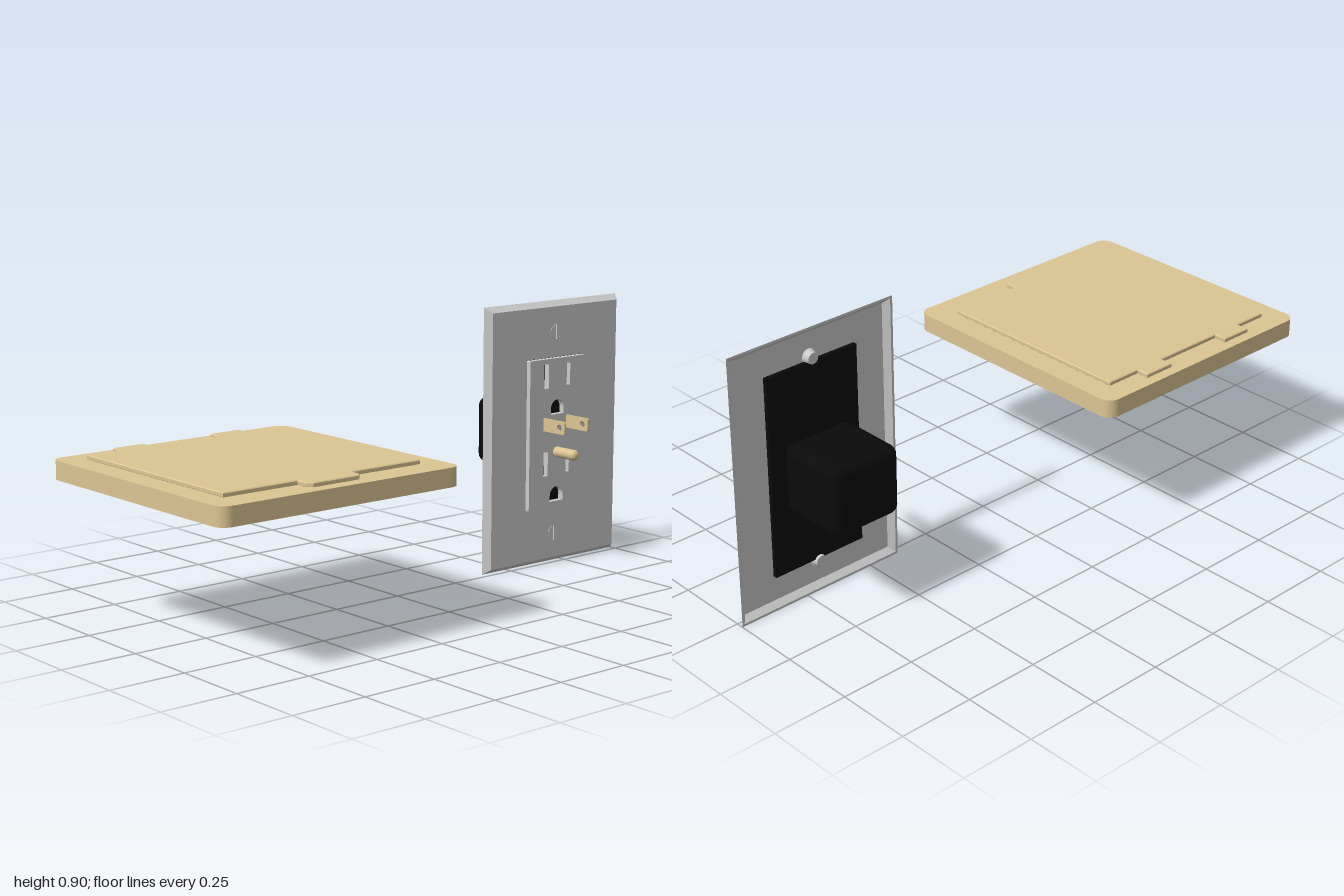
import * as THREE from 'three';
import { RoundedBoxGeometry } from 'three/addons/geometries/RoundedBoxGeometry.js';

const grey = new THREE.MeshStandardMaterial({ color: 0xcccccc });
const tan = new THREE.MeshStandardMaterial({ color: 0xdcc594 });
const black = new THREE.MeshStandardMaterial({ color: 0x0a0a0a });

const CX = 0.695, CY = 0.452; // wall plate centre

function add(parent, name, geometry, material, x = 0, y = 0, z = 0) {
  const mesh = new THREE.Mesh(geometry, material);
  mesh.name = name;
  mesh.position.set(x, y, z);
  parent.add(mesh);
  return mesh;
}

function extrude(shape, depth, bevel = 0) {
  const g = new THREE.ExtrudeGeometry(shape, {
    depth: depth - 2 * bevel, bevelEnabled: bevel > 0, bevelSize: bevel,
    bevelThickness: bevel, bevelOffset: -bevel, bevelSegments: 1, curveSegments: 8,
  });
  return g.translate(0, 0, bevel);
}

// rounded rectangle drawn on a Shape or Path
function rect(p, cx, cy, w, h, r = 0.001) {
  const a = cx - w / 2, b = cx + w / 2, c = cy - h / 2, d = cy + h / 2;
  p.moveTo(a + r, c).lineTo(b - r, c).absarc(b - r, c + r, r, -Math.PI / 2, 0);
  p.lineTo(b, d - r).absarc(b - r, d - r, r, 0, Math.PI / 2);
  p.lineTo(a + r, d).absarc(a + r, d - r, r, Math.PI / 2, Math.PI);
  p.lineTo(a, c + r).absarc(a + r, c + r, r, Math.PI, Math.PI * 1.5);
  return p;
}

// hollow bevelled rim: skin rectangular loops given as [inset, z]
function rimGeometry(w, h, loops) {
  const corners = [[-1, -1], [1, -1], [1, 1], [-1, 1]];
  const point = ([inset, z], i) => {
    const [sx, sy] = corners[i % 4];
    return [sx * (w / 2 - inset), sy * (h / 2 - inset), z];
  };
  const v = [];
  for (let k = 0; k + 1 < loops.length; k++)
    for (let i = 0; i < 4; i++) {
      const a = point(loops[k], i), b = point(loops[k], i + 1);
      const c = point(loops[k + 1], i + 1), d = point(loops[k + 1], i);
      v.push(...a, ...d, ...c, ...a, ...c, ...b);
    }
  const g = new THREE.BufferGeometry();
  g.setAttribute('position', new THREE.Float32BufferAttribute(v, 3));
  g.computeVertexNormals();
  return g;
}

function floorCover() {
  const group = new THREE.Group();
  group.name = 'floorCover';
  // each layer is drawn in plan and laid flat with its underside at y
  const layer = (name, shape, y, depth, bevel) =>
    add(group, name, extrude(shape, depth, bevel), tan, 0, y, 0).rotation.set(-Math.PI / 2, 0, 0);

  const wall = rect(new THREE.Shape(), -0.56, 0, 0.88, 0.88, 0.04);
  wall.holes.push(rect(new THREE.Path(), -0.56, 0, 0.85, 0.85, 0.027));
  layer('coverSkirt', wall, 0.455, 0.04);
  layer('coverTop', rect(new THREE.Shape(), -0.56, 0, 0.88, 0.88, 0.04), 0.495, 0.02);
  layer('coverUnderside', rect(new THREE.Shape(), -0.56, 0, 0.66, 0.66, 0.02), 0.457, 0.039);

  // lid with two hinge tabs behind and one finger tab in front
  const lid = new THREE.Shape([
    [-0.92, -0.34], [-0.66, -0.34], [-0.66, -0.38], [-0.645, -0.395], [-0.48, -0.395],
    [-0.465, -0.38], [-0.465, -0.34], [-0.2, -0.34], [-0.2, 0.362], [-0.325, 0.362],
    [-0.325, 0.405], [-0.435, 0.405], [-0.435, 0.362], [-0.69, 0.362],
    [-0.69, 0.405], [-0.8, 0.405], [-0.8, 0.362], [-0.92, 0.362],
  ].map(([x, y]) => new THREE.Vector2(x, y)));
  layer('lid', lid, 0.513, 0.016, 0.003);
  return group;
}

function screw(y) {
  const group = new THREE.Group();
  group.name = 'screw';
  group.position.set(CX, y, 0);
  add(group, 'screwShank', new THREE.CylinderGeometry(0.024, 0.018, 0.024, 24), grey, 0, 0, -0.016)
    .rotation.x = Math.PI / 2;
  // split head leaves the driver slot
  for (const side of [0, Math.PI]) {
    const half = new THREE.Shape().absarc(0, 0, 0.024, -1.4, 1.4);
    add(group, 'screwHead', extrude(half, 0.006), grey, 0, 0, -0.005).rotation.z = side;
  }
  return group;
}

function wallOutlet() {
  const group = new THREE.Group();
  group.name = 'wallOutlet';
  const screwYs = [0.797, 0.107];

  // plate: bevelled hollow rim plus pierced front sheet
  add(group, 'plateRim', rimGeometry(0.61, 0.896,
    [[0.018, 0], [0, -0.025], [0.008, -0.025], [0.025, -0.006]]), grey, CX, CY, 0);
  const sheet = rect(new THREE.Shape(), CX, CY, 0.574, 0.86);
  sheet.holes.push(rect(new THREE.Path(), CX - 0.002, 0.455, 0.259, 0.514));
  for (const y of screwYs) {
    sheet.holes.push(new THREE.Path().absarc(CX, y, 0.025, 0, Math.PI * 2));
    group.add(screw(y));
  }
  add(group, 'plateFace', extrude(sheet, 0.006), grey, 0, 0, -0.006);

  // receptacle face with two sets of openings
  const face = rect(new THREE.Shape(), CX - 0.002, 0.455, 0.255, 0.51, 0.004);
  for (const y of [0.652, 0.353]) {
    face.holes.push(rect(new THREE.Path(), 0.641, y, 0.021, 0.082));
    face.holes.push(rect(new THREE.Path(), 0.743, y, 0.016, 0.075));
    const ground = new THREE.Path();
    const base = y - 0.132;
    ground.moveTo(0.663, base).lineTo(0.723, base).lineTo(0.723, base + 0.02);
    ground.absarc(0.693, base + 0.02, 0.03, 0, Math.PI);
    ground.lineTo(0.663, base);
    face.holes.push(ground);
  }
  add(group, 'receptacleFace', extrude(face, 0.02), grey, 0, 0, -0.006);
  add(group, 'receptacleBack', new THREE.BoxGeometry(0.335, 0.67, 0.014), black, CX, 0.45, -0.0132);
  return group;
}

function plug() {
  const group = new THREE.Group();
  group.name = 'plug';
  add(group, 'plugBody', new RoundedBoxGeometry(0.25, 0.23, 0.24, 3, 0.032), black, CX, 0.444, -0.141);

  // flat blades with a round hole near the tip
  for (const x of [0.639, 0.746]) {
    const blade = rect(new THREE.Shape(), 0.045, 0, 0.14, 0.044, 0.008);
    blade.holes.push(new THREE.Path().absarc(0.09, 0, 0.011, 0, Math.PI * 2));
    add(group, 'blade', extrude(blade, 0.007), tan, x - 0.0035, 0.49, 0).rotation.y = -Math.PI / 2;
  }

  // ground pin with a chamfered tip
  const profile = [[0, -0.02], [0.018, -0.02], [0.018, 0.1], [0.012, 0.11], [0, 0.11]]
    .map(([r, y]) => new THREE.Vector2(r, y));
  const pin = add(group, 'groundPin', new THREE.LatheGeometry(profile, 24), tan, 0.693, 0.39, 0);
  pin.rotation.x = Math.PI / 2;
  return group;
}

export function createModel() {
  const model = new THREE.Group();
  model.name = 'outletAndCover';
  model.add(floorCover(), wallOutlet(), plug());
  return model;
}
